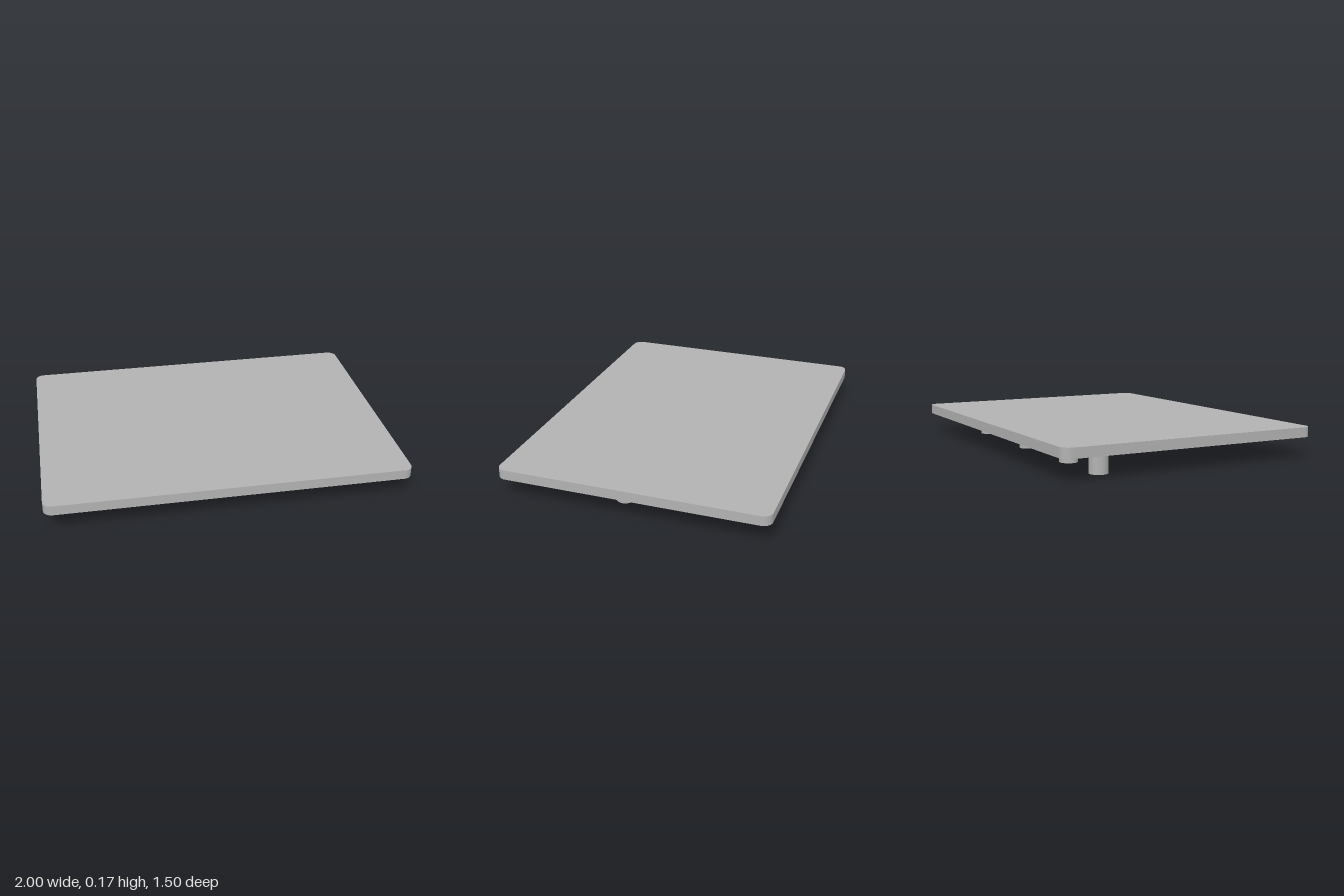
import * as THREE from 'three';
import { toCreasedNormals } from 'three/addons/utils/BufferGeometryUtils.js';

const HALF_X = 1, HALF_Z = 0.75, CORNER = 0.05;
const BASE = 0.115, THICK = 0.055, POCKET_DEPTH = 0.035;

// post centres [x, z]
const POSTS = [
  [0.69, -0.46], [0.045, -0.47], [-0.485, -0.47], [-0.84, -0.48],
  [0.795, 0.095], [0.44, 0.06], [-0.15, 0.01], [0.02, 0.31],
];
const POST_RADIUS = 0.05;

// pockets [x, z, radius]: four around the corner post, three in a row
const POCKETS = [];
for (const x of [0.565, 0.815]) for (const z of [-0.635, -0.28]) POCKETS.push([x, z, 0.073]);
for (const x of [0.51, 0.645, 0.78]) POCKETS.push([x, 0.485, 0.055]);

function roundedRect() {
  const s = new THREE.Shape(), a = HALF_X - CORNER, b = HALF_Z - CORNER;
  s.absarc(a, b, CORNER, 0, Math.PI / 2);
  s.absarc(-a, b, CORNER, Math.PI / 2, Math.PI);
  s.absarc(-a, -b, CORNER, Math.PI, Math.PI * 1.5);
  s.absarc(a, -b, CORNER, Math.PI * 1.5, Math.PI * 2);
  s.closePath();
  return s;
}

// only the side wall of the extruded outline
function rimGeometry() {
  const solid = new THREE.ExtrudeGeometry(roundedRect(), { depth: THICK, bevelEnabled: false, curveSegments: 12 });
  const { start, count } = solid.groups[1];
  const wall = new THREE.BufferGeometry();
  const points = solid.attributes.position.array.slice(start * 3, (start + count) * 3);
  wall.setAttribute('position', new THREE.BufferAttribute(points, 3));
  return toCreasedNormals(wall, 0.6).rotateX(-Math.PI / 2);
}

export function createModel() {
  const model = new THREE.Group();
  model.name = 'plateWithPosts';
  const grey = new THREE.MeshStandardMaterial({ color: 0xb2b2b2 });
  grey.name = 'light grey';

  const add = (name, geometry, x, y, z) => {
    const mesh = new THREE.Mesh(geometry, grey);
    mesh.name = name;
    mesh.position.set(x, y, z);
    model.add(mesh);
  };

  // plate: closed top, rim, and underside pierced by the pockets
  add('plateTop', new THREE.ShapeGeometry(roundedRect(), 12).rotateX(-Math.PI / 2), 0, BASE + THICK, 0);
  add('plateRim', rimGeometry(), 0, BASE, 0);
  const underside = roundedRect();
  for (const [x, z, r] of POCKETS) {
    underside.holes.push(new THREE.Path().absarc(x, z, r, 0, Math.PI * 2, true));
  }
  add('plateUnderside', new THREE.ShapeGeometry(underside, 16).rotateX(Math.PI / 2), 0, BASE, 0);

  // shallow round pockets in the underside
  for (const [x, z, r] of POCKETS) {
    const profile = [[0, POCKET_DEPTH], [r, POCKET_DEPTH], [r, 0]].map(p => new THREE.Vector2(...p));
    add('pocket', toCreasedNormals(new THREE.LatheGeometry(profile, 32), 0.6), x, BASE, z);
  }

  // support posts
  const post = new THREE.CylinderGeometry(POST_RADIUS, POST_RADIUS, BASE, 32);
  for (const [x, z] of POSTS) add('post', post, x, BASE / 2, z);

  return model;
}
